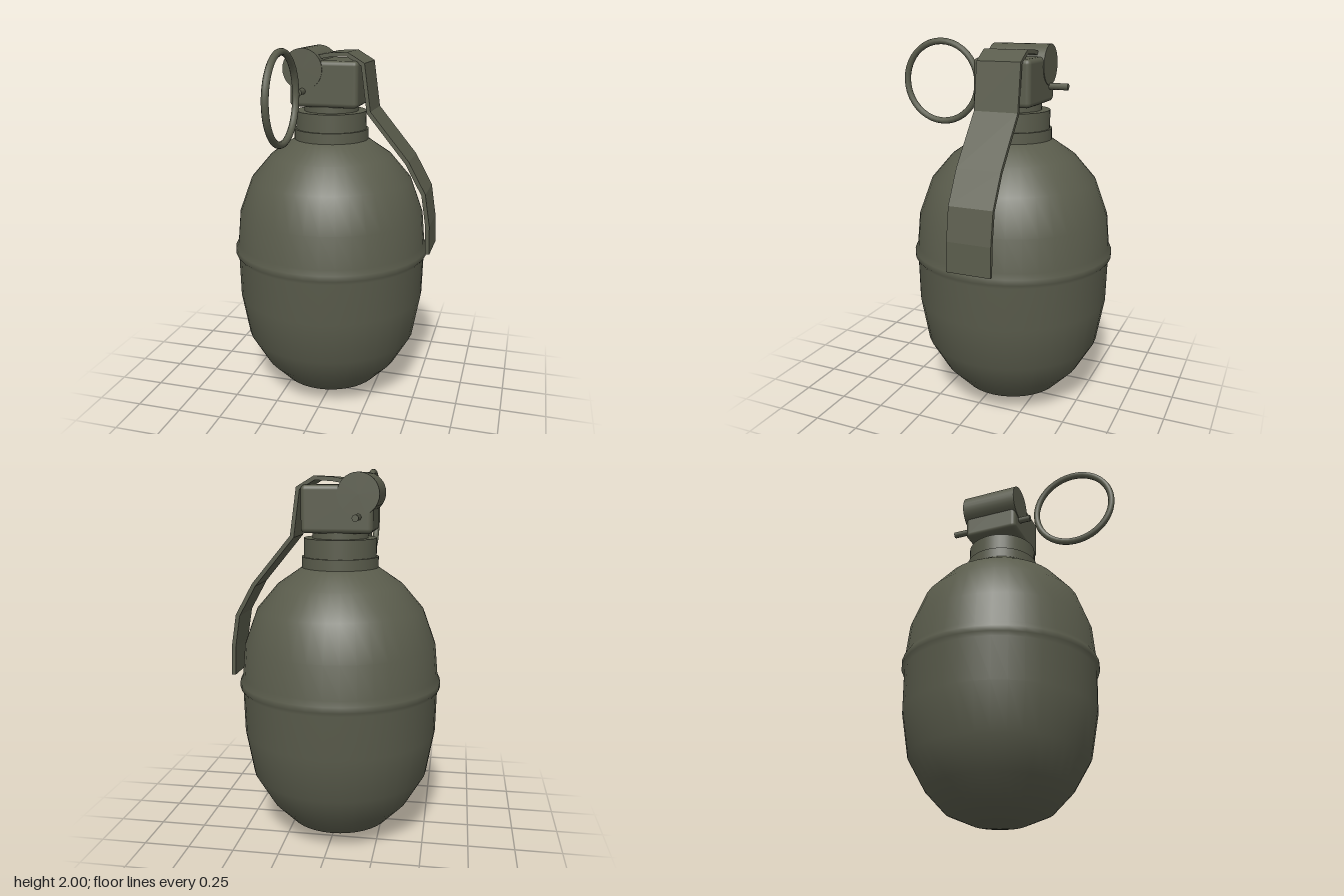
import * as THREE from 'three';
import { RoundedBoxGeometry } from 'three/addons/geometries/RoundedBoxGeometry.js';

const CX = -0.02, CZ = -0.093; // axis of the body
const PIN_X = -0.135, PIN_Y = 1.76;

export function createModel() {
  const model = new THREE.Group();
  const olive = new THREE.MeshStandardMaterial({ color: 0x5a5c4c });
  olive.name = 'olive drab';

  const add = (name, geometry, x = 0, y = 0, z = 0) => {
    const mesh = new THREE.Mesh(geometry, olive);
    mesh.name = name;
    mesh.position.set(x, y, z);
    model.add(mesh);
    return mesh;
  };

  // Egg-shaped body with a raised bead round the middle
  const profile = [
    [0, 0], [0.145, 0.024], [0.283, 0.082], [0.389, 0.193], [0.484, 0.357],
    [0.527, 0.6], [0.532, 0.828], [0.547, 0.85], [0.547, 0.88], [0.532, 0.91],
    [0.516, 1.082], [0.447, 1.27], [0.336, 1.4], [0.198, 1.495], [0, 1.53],
  ].map(([r, y]) => new THREE.Vector2(r, y));
  add('body', new THREE.LatheGeometry(profile, 40), CX, 0, CZ);

  // Stepped neck: radius, bottom, top
  [
    ['lowerCollar', 0.204, 1.48, 1.548],
    ['upperCollar', 0.193, 1.54, 1.645],
    ['neck', 0.148, 1.63, 1.7],
  ].forEach(([name, r, y0, y1]) =>
    add(name, new THREE.CylinderGeometry(r, r, y1 - y0, 40), CX, (y0 + y1) / 2, CZ));

  // Fuze head and the cross barrel that carries the lever
  add('fuzeHead', new RoundedBoxGeometry(0.372, 0.243, 0.315, 3, 0.025), -0.023, 1.797, CZ);
  add('crossBarrel', new THREE.CylinderGeometry(0.108, 0.108, 0.323, 32), PIN_X, 1.873, CZ)
    .rotation.x = Math.PI / 2;

  // Bent strip lever: outer edge offset inwards along mitred normals
  const outer = [
    [-0.066, 1.945], [0, 1.957], [0.098, 1.962], [0.19, 1.907], [0.225, 1.66],
    [0.436, 1.405], [0.53, 1.235], [0.558, 1.06], [0.564, 0.902],
  ].map(([x, y]) => new THREE.Vector2(x, y));
  const thickness = 0.022;
  const inner = outer.map((p, i) => {
    const before = p.clone().sub(outer[Math.max(i - 1, 0)]).normalize();
    const after = outer[Math.min(i + 1, outer.length - 1)].clone().sub(p).normalize();
    const t = before.add(after).normalize();
    return new THREE.Vector2(p.x + t.y * thickness, p.y - t.x * thickness);
  });
  const strip = new THREE.Shape([...outer, ...inner.reverse()]);
  add('lever', new THREE.ExtrudeGeometry(strip, { depth: 0.24, bevelEnabled: false }), 0, 0, -0.212);

  // Safety pin and pull ring
  add('pin', new THREE.CylinderGeometry(0.018, 0.018, 0.487, 8), PIN_X, PIN_Y, -0.111)
    .rotation.x = Math.PI / 2;
  add('pullRing', new THREE.TorusGeometry(0.223, 0.018, 10, 40), PIN_X, PIN_Y, 0.397)
    .rotation.y = Math.PI / 2;

  return model;
}
